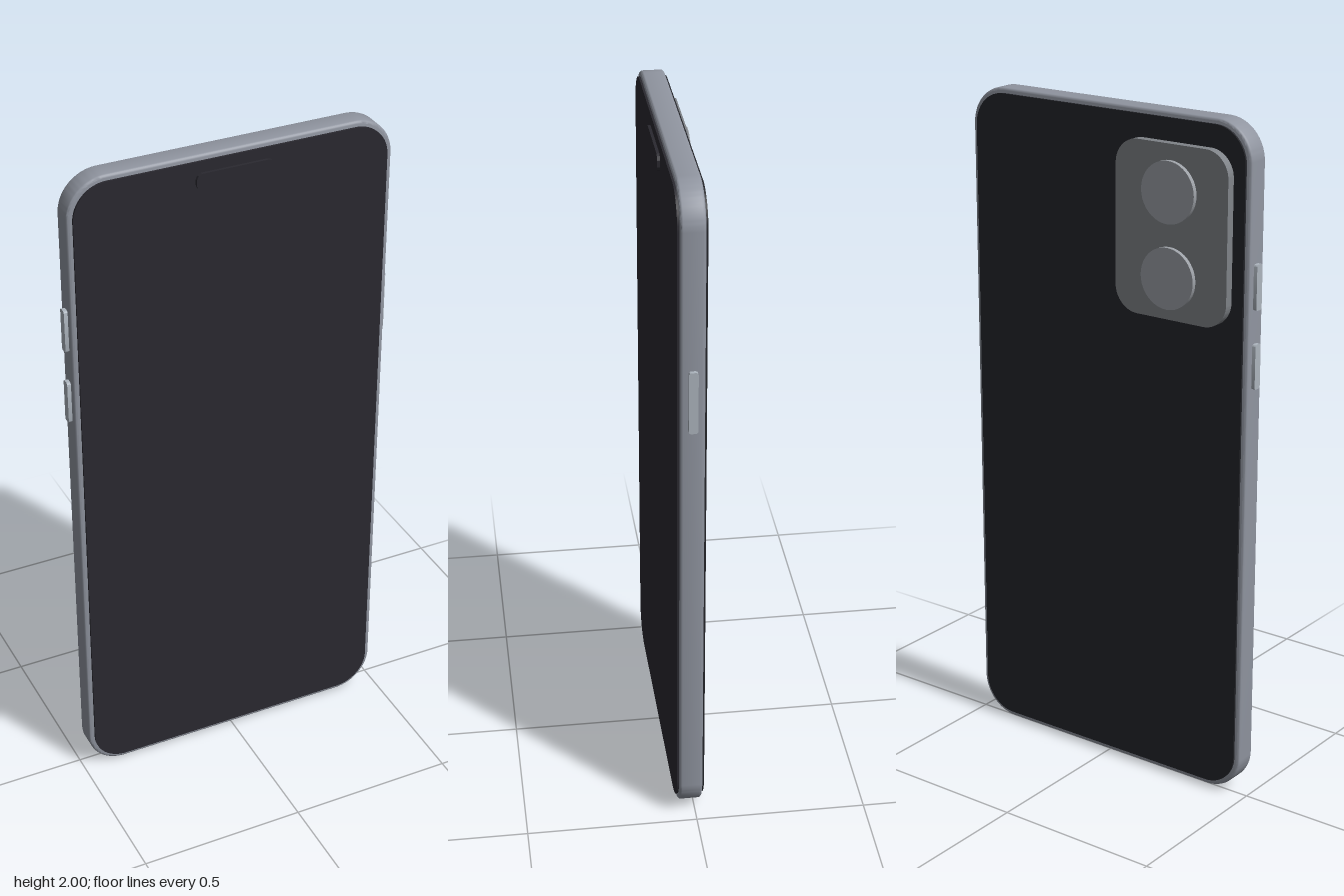
import * as THREE from 'three';
import { toCreasedNormals } from 'three/addons/utils/BufferGeometryUtils.js';

const material = (name, color) => {
  const m = new THREE.MeshStandardMaterial({ color });
  m.name = name;
  return m;
};

// Rounded rectangle centred on the origin
function roundedRect(w, h, r) {
  const x = w / 2, y = h / 2, s = new THREE.Shape();
  s.moveTo(x, y - r);
  s.absarc(x - r, y - r, r, 0, Math.PI / 2);
  s.absarc(-x + r, y - r, r, Math.PI / 2, Math.PI);
  s.absarc(-x + r, -y + r, r, Math.PI, Math.PI * 1.5);
  s.absarc(x - r, -y + r, r, Math.PI * 1.5, Math.PI * 2);
  return s;
}

// Rounded slab of full size w x h x d, centred, with an optional edge bevel
function slab(w, h, d, r, bevel = 0) {
  const geo = new THREE.ExtrudeGeometry(roundedRect(w - 2 * bevel, h - 2 * bevel, r - bevel), {
    depth: d - 2 * bevel, curveSegments: 12, bevelEnabled: bevel > 0,
    bevelSize: bevel, bevelThickness: bevel, bevelSegments: 3,
  });
  geo.translate(0, 0, -d / 2 + bevel);
  return toCreasedNormals(geo, 0.6);
}

export function createModel() {
  const phone = new THREE.Group();
  phone.name = 'phone';

  const frameMat = material('frame grey', 0x9095a0);
  const screenMat = material('screen black', 0x2a2930);
  const backMat = material('back black', 0x25262b);
  const islandMat = material('camera island grey', 0x7f8388);
  const lensMat = material('lens grey', 0x9ca0a6);
  const buttonMat = material('button silver', 0xadb5be);
  const portMat = material('port black', 0x1c1c20);

  const add = (name, geo, mat, x, y, z) => {
    const mesh = new THREE.Mesh(geo, mat);
    mesh.name = name;
    mesh.position.set(x, y, z);
    phone.add(mesh);
    return mesh;
  };

  // Body, glass panels and front cutout
  add('frame', slab(0.966, 1.992, 0.068, 0.115, 0.008), frameMat, 0, 1.004, 0.015);
  add('screen', slab(0.934, 1.96, 0.008, 0.1), screenMat, 0, 1.004, 0.051);
  add('backPanel', slab(0.934, 1.96, 0.008, 0.1), backMat, 0, 1.004, -0.021);
  add('sensorPill', slab(0.23, 0.05, 0.008, 0.02), screenMat, 0, 1.926, 0.059);

  // Camera island with two stepped lenses
  add('cameraIsland', slab(0.375, 0.495, 0.028, 0.075), islandMat, -0.2425, 1.672, -0.037);
  for (const y of [1.788, 1.546]) {
    const base = add('lensBase', new THREE.CylinderGeometry(0.073, 0.073, 0.006, 40), islandMat, -0.2425, y, -0.053);
    const lens = add('lens', new THREE.CylinderGeometry(0.088, 0.088, 0.013, 40), lensMat, -0.2425, y, -0.0615);
    base.rotation.x = lens.rotation.x = Math.PI / 2;
  }

  // Side buttons: [name, x side, centre height, length]
  const buttons = [
    ['powerButton', 1, 1.403, 0.184],
    ['volumeUpButton', -1, 1.546, 0.13],
    ['volumeDownButton', -1, 1.32, 0.13],
  ];
  for (const [name, side, y, length] of buttons) {
    const b = add(name, slab(0.026, length, 0.022, 0.008), buttonMat, side * 0.483, y, 0.0145);
    b.rotation.y = side * Math.PI / 2;
    b.scale.z = 1;
  }

  // Charging port and speaker holes in the bottom edge
  const port = add('chargingPort', slab(0.12, 0.024, 0.008, 0.011), portMat, 0, 0.004, 0.015);
  port.rotation.x = Math.PI / 2;
  for (const side of [-1, 1]) {
    for (const x of [0.157, 0.207, 0.257]) {
      add('speakerHole', new THREE.CylinderGeometry(0.01, 0.01, 0.008, 16), portMat, side * x, 0.004, 0.015);
    }
  }
  return phone;
}
